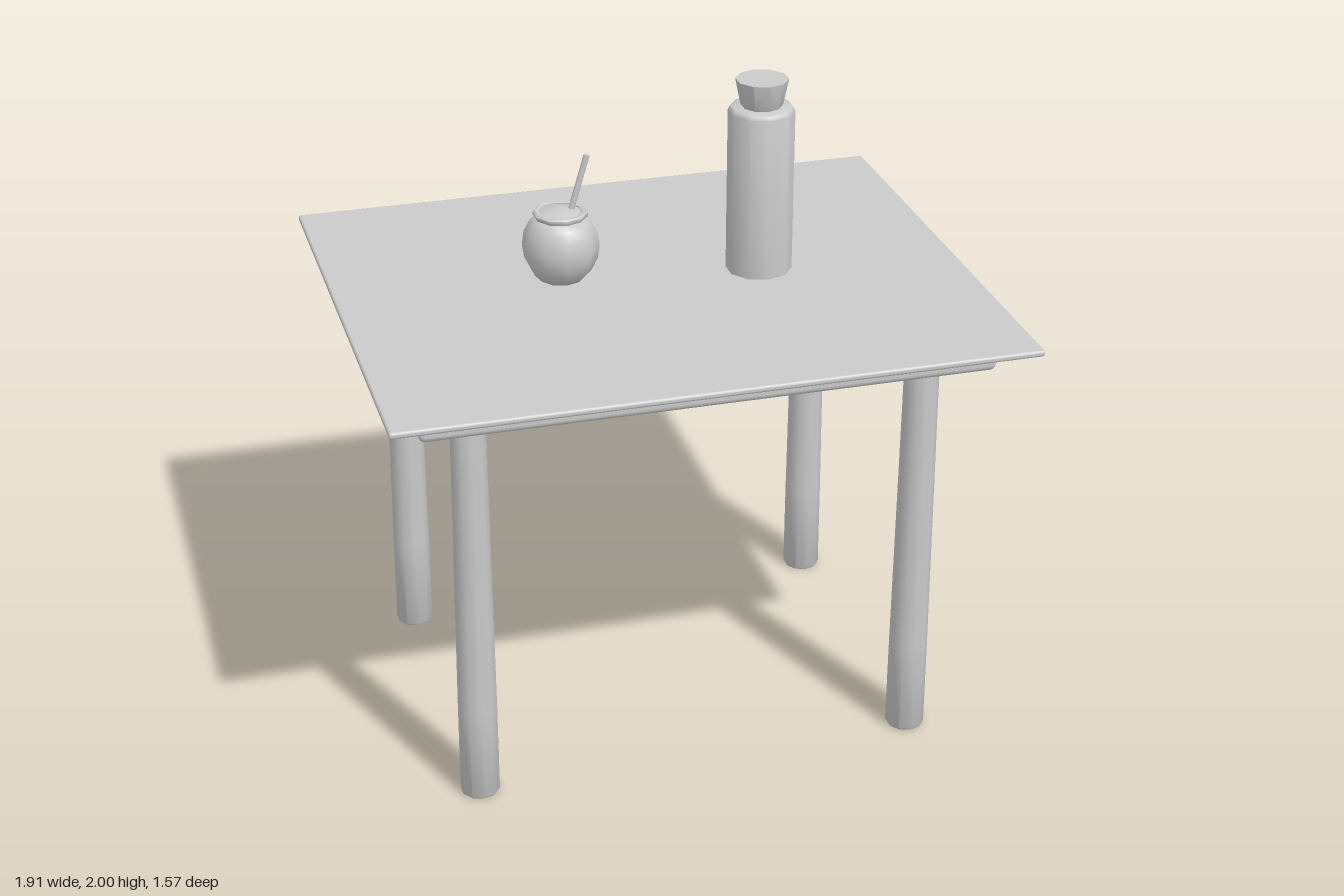
import * as THREE from 'three';
import { toCreasedNormals } from 'three/addons/utils/BufferGeometryUtils.js';
import { RoundedBoxGeometry } from 'three/addons/geometries/RoundedBoxGeometry.js';

const SIDES = 10;

export function createModel() {
  const model = new THREE.Group();
  model.name = 'tableWithDrinks';
  const clay = new THREE.MeshStandardMaterial({ color: 0xcacaca });
  clay.name = 'light grey';

  const add = (name, geometry, x, y, z, parent = model) => {
    const mesh = new THREE.Mesh(geometry, clay);
    mesh.name = name;
    mesh.position.set(x, y, z);
    parent.add(mesh);
    return mesh;
  };
  // Ten-sided turned shape from [radius, height] pairs, listed bottom to top
  const turned = (profile, crease = 0.7) => toCreasedNormals(
    new THREE.LatheGeometry(profile.map(([r, y]) => new THREE.Vector2(r, y)), SIDES), crease);

  // Table: thin top over a thicker rounded slab
  add('tableTop', new RoundedBoxGeometry(1.91, 0.02, 1.57, 2, 0.008), 0, 1.38, 0);
  add('underSlab', new RoundedBoxGeometry(1.71, 0.084, 1.36, 3, 0.02), 0, 1.33, 0);

  // Slightly tapered legs
  const legShape = turned([[0, 0], [0.056, 0], [0.06, 0.006], [0.059, 0.3], [0.053, 1.1], [0.052, 1.3], [0, 1.3]]);
  for (const x of [-0.685, 0.685]) {
    for (const z of [-0.515, 0.515]) add('leg', legShape, x, 0, z);
  }

  // Flask with a flared stopper
  const flask = new THREE.Group();
  flask.name = 'flask';
  flask.position.set(0.34, 1.39, 0);
  model.add(flask);
  add('flaskBody', turned([[0, 0], [0.101, 0], [0.101, 0.512], [0.096, 0.522], [0.088, 0.526], [0, 0.526]]), 0, 0, 0, flask);
  add('flaskStopper', turned([[0, 0.522], [0.058, 0.522], [0.064, 0.53], [0.08, 0.61], [0, 0.61]], 0.5), 0, 0, 0, flask);

  // Gourd cup with rim, mounded filling and straw
  const gourd = new THREE.Group();
  gourd.name = 'gourdCup';
  gourd.position.set(-0.26, 1.39, -0.09);
  model.add(gourd);
  add('gourdBody', turned([[0, 0], [0.068, 0], [0.092, 0.025], [0.112, 0.065], [0.118, 0.105],
    [0.112, 0.15], [0.094, 0.185], [0.076, 0.202], [0, 0.202]], 0.9), 0, 0, 0, gourd);
  add('gourdRim', turned([[0.07, 0.198], [0.08, 0.2], [0.084, 0.207], [0.084, 0.214],
    [0.078, 0.219], [0.066, 0.216], [0.066, 0.2]]), 0, 0, 0, gourd);
  add('filling', turned([[0.07, 0.212], [0.04, 0.22], [0, 0.231]]), 0, 0, 0, gourd);

  const strawPath = new THREE.LineCurve3(new THREE.Vector3(0.03, 0.205, 0), new THREE.Vector3(0.084, 0.388, 0));
  const strawLength = strawPath.getLength();
  const middle = strawPath.getPoint(0.5);
  const straw = add('straw', new THREE.CylinderGeometry(0.01, 0.01, strawLength, 8), middle.x, middle.y, 0, gourd);
  straw.quaternion.setFromUnitVectors(new THREE.Vector3(0, 1, 0), strawPath.getTangent(0.5));

  return model;
}
